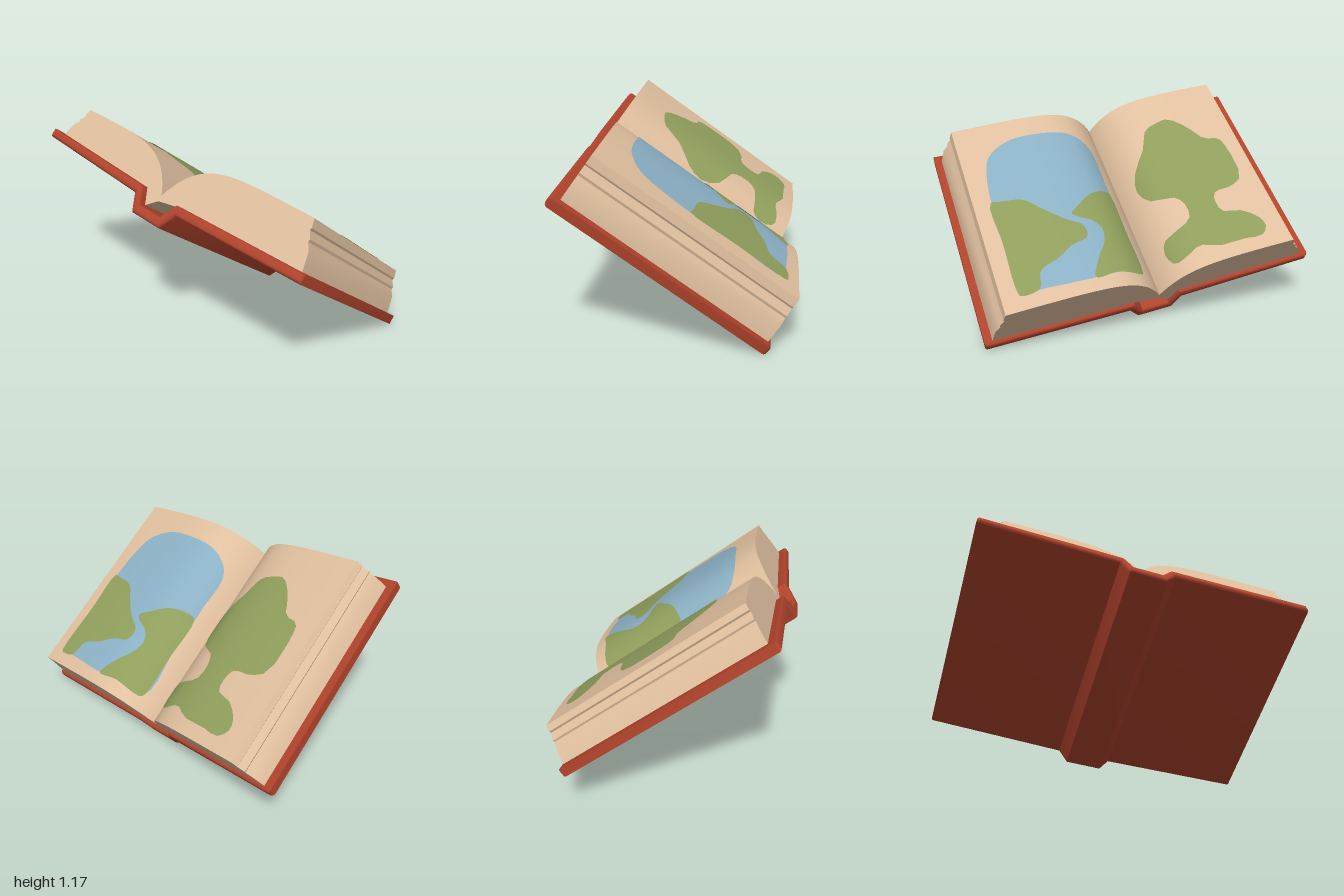
import * as THREE from 'three';
import { mergeVertices, toCreasedNormals } from 'three/addons/utils/BufferGeometryUtils.js';

const flat = (name, color, side = THREE.FrontSide) => {
  const m = new THREE.MeshStandardMaterial({ color, side });
  m.name = name;
  return m;
};

// Book space: x across the pages, y up the page, z out of the page.
const GUTTER = 0.03;
const pageHeight = (side, x) => {
  const d = Math.max(0, side * (x - GUTTER));
  return 0.12 + (side < 0 ? 0.285 : 0.245) * (1 - Math.exp(-d / 0.13)) - 0.02 * d;
};

// Extrudes a cross-section (across, out) between two heights on the page.
function slab(points, bottom, top, bevel = 0) {
  const shape = new THREE.Shape(points.map(([x, z]) => new THREE.Vector2(x, z)));
  const g = new THREE.ExtrudeGeometry(shape, {
    depth: top - bottom - 2 * bevel, bevelEnabled: bevel > 0, bevelSize: bevel,
    bevelThickness: bevel, bevelOffset: -bevel, bevelSegments: 4,
  });
  g.rotateX(Math.PI / 2);
  g.translate(0, top - bevel, 0);
  return toCreasedNormals(g, 0.6);
}

// Splits every triangle into four, so that a flat outline can be bent.
function subdivide(tris) {
  const out = [];
  const mid = (a, b) => [(a[0] + b[0]) / 2, (a[1] + b[1]) / 2];
  for (const [a, b, c] of tris) {
    const ab = mid(a, b), bc = mid(b, c), ca = mid(c, a);
    out.push([a, ab, ca], [ab, b, bc], [ca, bc, c], [ab, bc, ca]);
  }
  return out;
}

// Thin painted patch that follows the curve of a page.
function patch(side, outline, lift) {
  const curve = new THREE.CatmullRomCurve3(
    outline.map(([x, y]) => new THREE.Vector3(x, y, 0)), true, 'centripetal');
  const pts = curve.getPoints(64).slice(0, -1).map(p => new THREE.Vector2(p.x, p.y));
  const flatGeo = new THREE.ShapeGeometry(new THREE.Shape(pts)).toNonIndexed();
  const p = flatGeo.attributes.position;
  let tris = [];
  for (let i = 0; i < p.count; i += 3) {
    tris.push([0, 1, 2].map(k => [p.getX(i + k), p.getY(i + k)]));
  }
  for (let i = 0; i < 4; i++) tris = subdivide(tris);
  const pos = tris.flat().flatMap(([x, y]) => [x, y, pageHeight(side, x) + lift]);
  const g = new THREE.BufferGeometry();
  g.setAttribute('position', new THREE.Float32BufferAttribute(pos, 3));
  const merged = mergeVertices(g, 1e-5);
  merged.computeVertexNormals();
  return merged;
}

export function createModel() {
  const coverRed = flat('coverRed', 0xb0432c);
  const paper = flat('paper', 0xdfbf9e);
  const landGreen = flat('landGreen', 0x8f9e5c, THREE.DoubleSide);
  const waterBlue = flat('waterBlue', 0x8bb0c4, THREE.DoubleSide);

  const book = new THREE.Group();
  book.name = 'openBook';
  const add = (name, geometry, material) => {
    const m = new THREE.Mesh(geometry, material);
    m.name = name;
    book.add(m);
  };

  // Cover: two boards with a sunken spine between them, underside then top
  add('cover', slab([
    [-0.967, 0.086], [-0.15, 0.062], [-0.09, -0.035], [0.122, -0.035], [0.17, 0.065], [0.967, 0.1],
    [0.967, 0.152], [0.145, 0.12], [0.095, 0.022], [-0.063, 0.022], [-0.123, 0.117], [-0.967, 0.14],
  ], -0.33, 0.985, 0.02), coverRed);

  // Page blocks: curved top, stepped fore edge, flat underside
  const blocks = [
    { name: 'leftPages', side: -1, edge: 0.845,
      fore: [[0.858, 0.34], [0.853, 0.328], [0.878, 0.29], [0.876, 0.275], [0.903, 0.235], [0.925, 0.135]],
      inner: [[0.14, 0.115], [0.055, 0.1]] },
    { name: 'rightPages', side: 1, edge: 0.82,
      fore: [[0.838, 0.315], [0.83, 0.303], [0.862, 0.27], [0.857, 0.258], [0.89, 0.22], [0.922, 0.145]],
      inner: [[0.15, 0.115], [0.1, 0.03]] },
  ];
  for (const { name, side, edge, fore, inner } of blocks) {
    const section = [];
    const n = 32;
    for (let i = 0; i <= n; i++) {
      const x = GUTTER + (side * edge - GUTTER) * (i / n) ** 1.6;
      section.push([x, pageHeight(side, x)]);
    }
    for (const [x, z] of [...fore, ...inner]) section.push([side * x, z]);
    section.push([GUTTER, 0.085]);
    add(name, slab(section, -0.307, 0.932), paper);
  }

  // Left page picture: water with two banks of land
  add('water', patch(-1, [
    [-0.06, -0.215], [-0.05, 0.1], [-0.05, 0.4], [-0.06, 0.68], [-0.15, 0.765], [-0.35, 0.79],
    [-0.55, 0.775], [-0.68, 0.69], [-0.725, 0.56], [-0.745, 0.36], [-0.74, 0.1], [-0.74, -0.205],
    [-0.6, -0.22], [-0.35, -0.23], [-0.2, -0.22],
  ], 0.004), waterBlue);
  add('outerBank', patch(-1, [
    [-0.75, 0.37], [-0.69, 0.365], [-0.577, 0.345], [-0.482, 0.252], [-0.386, 0.161], [-0.3, 0.1],
    [-0.304, 0.023], [-0.397, -0.008], [-0.5, -0.07], [-0.605, -0.115], [-0.64, -0.215],
    [-0.74, -0.23], [-0.754, -0.21], [-0.752, 0.1],
  ], 0.008), landGreen);
  add('innerBank', patch(-1, [
    [-0.338, 0.19], [-0.28, 0.24], [-0.18, 0.313], [-0.06, 0.34], [-0.048, 0.32], [-0.048, 0.05],
    [-0.05, -0.21], [-0.065, -0.23], [-0.21, -0.22], [-0.338, -0.232], [-0.283, -0.116],
    [-0.22, -0.025], [-0.2, 0.06], [-0.24, 0.124], [-0.316, 0.163],
  ], 0.008), landGreen);

  // Right page picture: a broad tree on a strip of ground
  add('tree', patch(1, [
    [0.115, 0.314], [0.143, 0.431], [0.237, 0.558], [0.296, 0.68], [0.379, 0.71], [0.451, 0.718],
    [0.546, 0.628], [0.62, 0.509], [0.7, 0.49], [0.724, 0.4], [0.708, 0.18], [0.617, 0.132],
    [0.516, 0.12], [0.491, 0.057], [0.507, -0.015], [0.606, -0.04], [0.692, -0.115],
    [0.705, -0.178], [0.656, -0.228], [0.546, -0.222], [0.394, -0.22], [0.295, -0.18],
    [0.21, -0.21], [0.145, -0.22], [0.116, -0.155], [0.133, -0.07], [0.198, -0.045],
    [0.305, 0], [0.32, 0.09], [0.285, 0.16], [0.16, 0.207],
  ], 0.006), landGreen);

  // Lean the open book back
  const across = new THREE.Vector3(0.02, 0.13, -0.991).normalize();
  const out = across.clone().cross(new THREE.Vector3(-0.81, 0.583, 0.061)).normalize();
  const up = out.clone().cross(across);
  book.quaternion.setFromRotationMatrix(new THREE.Matrix4().makeBasis(across, up, out));
  book.position.addScaledVector(across, 0.072).addScaledVector(out, 0.29);

  const model = new THREE.Group();
  model.name = 'pictureBook';
  model.add(book);
  return model;
}
